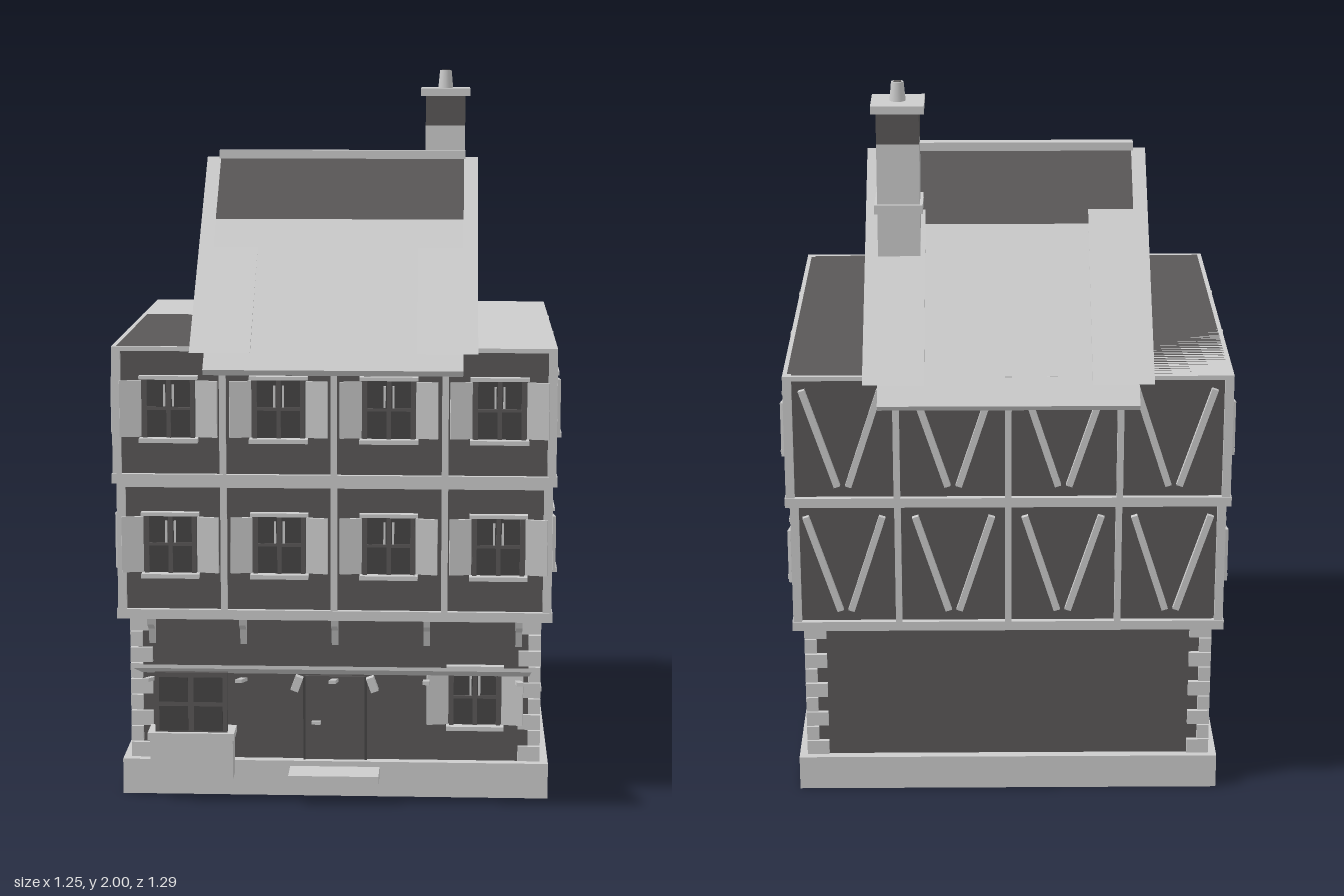
import * as THREE from 'three';

const mat = (name, color, side = THREE.FrontSide) => {
  const m = new THREE.MeshStandardMaterial({ color, side });
  m.name = name;
  return m;
};
const light = mat('pale trim', 0xcccccc);
const dark = mat('dark plaster', 0x5a5858);
const glass = mat('window glass', 0x464444);

function add(parent, geo, m, name, x = 0, y = 0, z = 0) {
  const mesh = new THREE.Mesh(geo, m);
  mesh.name = name;
  mesh.position.set(x, y, z);
  parent.add(mesh);
  return mesh;
}

// Box given by its extents on each axis
function span(parent, name, m, [x0, x1], [y0, y1], [z0, z1]) {
  return add(parent, new THREE.BoxGeometry(x1 - x0, y1 - y0, z1 - z0), m, name,
    (x0 + x1) / 2, (y0 + y1) / 2, (z0 + z1) / 2);
}

// Bar lying on a wall between two points
function bar(parent, name, a, b, width = 0.018, depth = 0.014) {
  const dx = b[0] - a[0], dy = b[1] - a[1];
  const mesh = add(parent, new THREE.BoxGeometry(width, Math.hypot(dx, dy), depth), light, name,
    (a[0] + b[0]) / 2, (a[1] + b[1]) / 2, depth / 2);
  mesh.rotation.z = -Math.atan2(dx, dy);
  return mesh;
}

// Group whose local xy plane is one wall and whose z points outward
function wallFrame(parent, name, angle, x, z) {
  const g = new THREE.Group();
  g.name = name;
  g.rotation.y = angle;
  g.position.set(x, 0, z);
  parent.add(g);
  return g;
}

// Casement window with open shutters, lintel and sill
function addWindow(wall, u, y, shutters = true) {
  const g = new THREE.Group();
  g.name = 'window';
  g.position.set(u, y, 0);
  wall.add(g);
  const w = 0.065, h = 0.08;
  span(g, 'glass', glass, [-w, w], [-h, h], [0, 0.004]);
  for (const s of [-1, 1]) {
    add(g, new THREE.BoxGeometry(0.012, 2 * h, 0.012), dark, 'frameSide', s * w, 0, 0.006);
    add(g, new THREE.BoxGeometry(0.006, 0.06, 0.004), light, 'curtainEdge', s * 0.012, 0.035, 0.006);
    if (shutters) {
      const sh = add(g, new THREE.BoxGeometry(0.06, 0.155, 0.009), light, 'shutter', s * 0.104, 0, 0.014);
      sh.rotation.y = -s * 0.18;
    }
  }
  add(g, new THREE.BoxGeometry(0.012, 2 * h, 0.012), dark, 'mullion', 0, 0, 0.006);
  add(g, new THREE.BoxGeometry(2 * w, 0.008, 0.01), dark, 'glazingBar', 0, 0, 0.005);
  add(g, new THREE.BoxGeometry(0.16, 0.01, 0.022), light, 'lintel', 0, 0.086, 0.011);
  add(g, new THREE.BoxGeometry(0.16, 0.012, 0.03), light, 'sill', 0, -0.086, 0.015);
}

// Timber framed storey
function addStorey(root, name, y0, y1, X, zf, zb, winY, rearZ) {
  const g = new THREE.Group();
  g.name = name;
  root.add(g);
  const o = 0.012;
  span(g, 'plaster', dark, [-X, X], [y0, y1], [zb, zf]);
  span(g, 'bottomBeam', light, [-X - o - 0.003, X + o + 0.003], [y0, y0 + 0.027], [zb - o - 0.003, zf + o + 0.003]);
  span(g, 'topBeam', light, [-X - o, X + o], [y1 - 0.012, y1], [zb - o, zf + o]);
  for (const sx of [-1, 1]) for (const z of [zf, zb]) {
    add(g, new THREE.BoxGeometry(0.024, y1 - y0, 0.024), light, 'cornerPost', sx * X, (y0 + y1) / 2, z);
  }
  const front = wallFrame(g, 'frontWall', 0, 0, zf);
  const back = wallFrame(g, 'backWall', Math.PI, 0, zb);
  for (const u of [-0.303, 0, 0.303]) {
    bar(front, 'post', [u, y0], [u, y1]);
    bar(back, 'post', [u, y0], [u, y1]);
  }
  for (const u of [-0.45, -0.15, 0.15, 0.45]) {
    addWindow(front, u, winY);
    for (const s of [-1, 1]) bar(back, 'brace', [u + s * 0.015, y0 + 0.06], [u + s * 0.105, y1 - 0.04]);
  }
  for (const s of [-1, 1]) {
    const side = wallFrame(g, 'sideWall', s * Math.PI / 2, s * X, 0);
    for (const z of [0.148, -0.205]) bar(side, 'post', [-s * z, y0], [-s * z, y1]);
    bar(side, 'brace', [-s * 0.095, winY - 0.115], [s * 0.012, winY + 0.095]);
    bar(side, 'brace', [s * 0.15, winY - 0.115], [s * 0.043, winY + 0.095]);
    addWindow(side, -s * 0.322, winY);
    addWindow(side, -s * rearZ, winY);
  }
}

// Outline in the z-y plane extruded across x
function across(parent, name, m, pts, x0, x1) {
  const shape = new THREE.Shape(pts.map(([z, y]) => new THREE.Vector2(-z, y)));
  const geo = new THREE.ExtrudeGeometry(shape, { depth: x1 - x0, bevelEnabled: false });
  geo.rotateY(Math.PI / 2);
  return add(parent, geo, m, name, x0);
}

function addGroundFloor(root) {
  const g = new THREE.Group();
  g.name = 'groundFloor';
  root.add(g);
  span(g, 'plinth', light, [-0.595, 0.595], [0, 0.1], [-0.525, 0.467]);
  span(g, 'wall', dark, [-0.56, 0.56], [0.1, 0.52], [-0.5, 0.44]);
  // Alternating corner stones
  for (let i = 0; i < 9; i++) for (const sx of [-1, 1]) for (const sz of [-1, 1]) {
    const w = i % 2 ? 0.034 : 0.062, d = i % 2 ? 0.062 : 0.034;
    add(g, new THREE.BoxGeometry(w, 0.042, d), light, 'cornerStone',
      sx * (0.572 - w / 2), 0.124 + i * 0.0455, sz > 0 ? 0.453 - d / 2 : -0.512 + d / 2);
  }
  for (const s of [-1, 1]) addWindow(wallFrame(g, 'sideWall', s * Math.PI / 2, s * 0.56, 0), s * 0.03, 0.285);
  const front = wallFrame(g, 'frontWall', 0, 0, 0.44);
  addWindow(front, 0.39, 0.285);
  // Door, handle, lamps and step
  span(front, 'door', dark, [-0.085, 0.085], [0.1, 0.34], [0, 0.008]);
  for (const s of [-1, 1]) {
    span(front, 'doorJamb', glass, [s * 0.086 - 0.003, s * 0.086 + 0.003], [0.1, 0.34], [0, 0.012]);
    const lamp = add(front, new THREE.BoxGeometry(0.022, 0.042, 0.025), light, 'lamp', s * 0.105, 0.325, 0.03);
    lamp.rotation.z = s * 0.35;
  }
  span(front, 'handle', light, [-0.065, -0.04], [0.203, 0.212], [0, 0.02]);
  span(g, 'step', light, [-0.125, 0.125], [0.055, 0.085], [0.46, 0.56]);
  // Shop window above its planter
  span(g, 'shopWindowFrame', dark, [-0.495, -0.295], [0.19, 0.37], [0.515, 0.536]);
  for (const x of [-0.443, -0.347]) for (const y of [0.24, 0.322]) {
    add(g, new THREE.BoxGeometry(0.08, 0.07, 0.006), glass, 'shopPane', x, y, 0.536);
  }
  span(g, 'planter', light, [-0.51, -0.28], [0.065, 0.18], [0.46, 0.535]);
  span(g, 'planterRim', light, [-0.515, -0.275], [0.18, 0.2], [0.46, 0.55]);
  // Canopy tilted up and outward, in two layers
  across(g, 'canopy', light, [[0.645, 0.421], [0.645, 0.411], [0.45, 0.346], [0.45, 0.356]], -0.54, 0.54);
  for (const x of [-0.51, -0.255, 0, 0.255, 0.51]) {
    across(g, 'canopyRib', light, [[0.628, 0.377], [0.628, 0.367], [0.44, 0.322], [0.44, 0.332]], x - 0.009, x + 0.009);
    across(g, 'floorBracket', light, [[0.44, 0.515], [0.5, 0.515], [0.495, 0.495], [0.463, 0.475], [0.45, 0.43], [0.44, 0.43]], x - 0.009, x + 0.009);
  }
}

function addRoof(root) {
  const g = new THREE.Group();
  g.name = 'roof';
  root.add(g);
  const rz = -0.027, top = 1.764;
  // Solid gable ends
  for (const x0 of [-0.39, 0.225]) {
    across(g, 'gable', light, [[rz, 1.757], [0.552, 1.263], [-0.617, 1.263]], x0, x0 + 0.165);
  }
  // Middle slopes: dark band near the ridge, pale covering below
  for (const [ez, ey] of [[0.59, 1.222], [-0.65, 1.215]]) {
    const k = 0.195 / Math.abs(ez - rz), s = Math.sign(ez);
    const mz = rz + (ez - rz) * k, my = top + (ey - top) * k;
    const slab = (name, m, a, b) => {
      const pts = [a, b, [b[0] - s * 0.013, b[1] - 0.016], [a[0], a[1] - 0.022]];
      across(g, name, m, pts, -0.35, 0.35);
    };
    slab('upperSlope', dark, [rz, top], [mz, my]);
    slab('lowerSlope', light, [mz, my], [ez, ey]);
  }
  span(g, 'ridgeCap', light, [-0.355, 0.355], [1.752, 1.776], [rz - 0.015, rz + 0.015]);
}

function addChimney(root) {
  const g = new THREE.Group();
  g.name = 'chimney';
  g.position.set(0.296, 0, -0.246);
  root.add(g);
  const block = (name, m, w, y0, y1) => span(g, name, m, [-w, w], [y0, y1], [-w, w]);
  block('stack', light, 0.058, 1.45, 1.84);
  block('collar', light, 0.066, 1.647, 1.672);
  block('sootBand', dark, 0.058, 1.84, 1.926);
  block('cap', light, 0.072, 1.926, 1.948);
  add(g, new THREE.CylinderGeometry(0.017, 0.022, 0.052, 12), light, 'pot', 0, 1.974, 0);
  add(g, new THREE.CylinderGeometry(0.012, 0.012, 0.002, 12), dark, 'flue', 0, 2.0, 0);
}

export function createModel() {
  const root = new THREE.Group();
  root.name = 'townHouse';
  addGroundFloor(root);
  addStorey(root, 'middleStorey', 0.515, 0.897, 0.585, 0.497, -0.545, 0.725, -0.39);
  addStorey(root, 'upperStorey', 0.897, 1.275, 0.593, 0.51, -0.57, 1.105, -0.4);
  addRoof(root);
  addChimney(root);
  return root;
}
